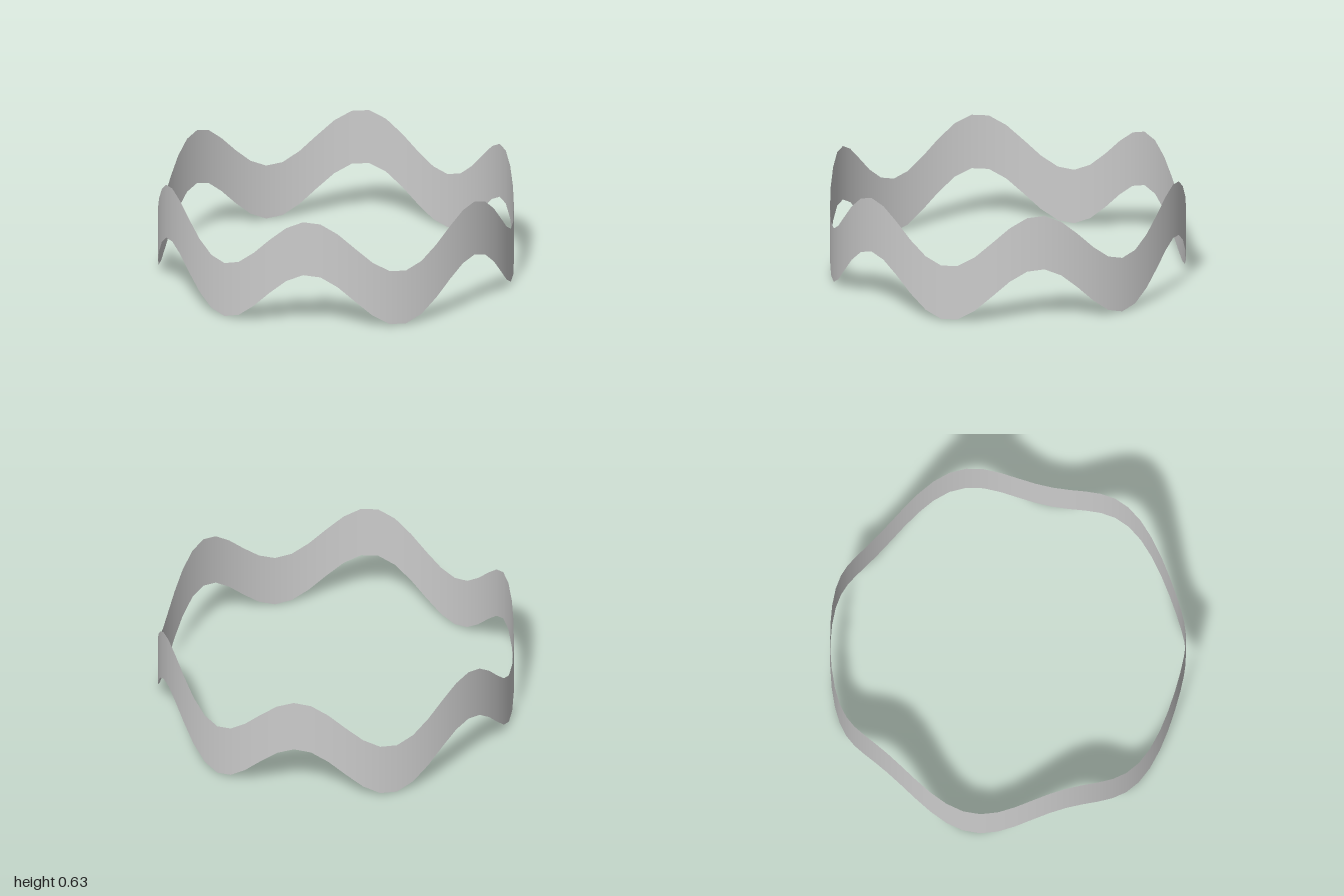
import * as THREE from 'three';

const RADIUS = 1;
const BAND_HEIGHT = 0.314;
const AMPLITUDE = 0.157;
const WAVES = 6;
const SEGMENTS = 64;

// Open ring whose rims rise and fall together in a sine wave.
function wavyBandGeometry() {
  const geometry = new THREE.CylinderGeometry(RADIUS, RADIUS, BAND_HEIGHT, SEGMENTS, 1, true);
  const pos = geometry.attributes.position;
  for (let i = 0; i < pos.count; i++) {
    const angle = Math.atan2(pos.getX(i), pos.getZ(i));
    pos.setY(i, pos.getY(i) - AMPLITUDE * Math.sin(WAVES * angle));
  }
  // Rest the lowest trough on the ground; the radial normals stay valid.
  geometry.translate(0, BAND_HEIGHT / 2 + AMPLITUDE, 0);
  return geometry;
}

export function createModel() {
  const group = new THREE.Group();
  group.name = 'wavyRing';

  const material = new THREE.MeshStandardMaterial({ color: 0xcccccc, side: THREE.DoubleSide });
  const band = new THREE.Mesh(wavyBandGeometry(), material);
  band.name = 'wavyBand';
  group.add(band);

  return group;
}
